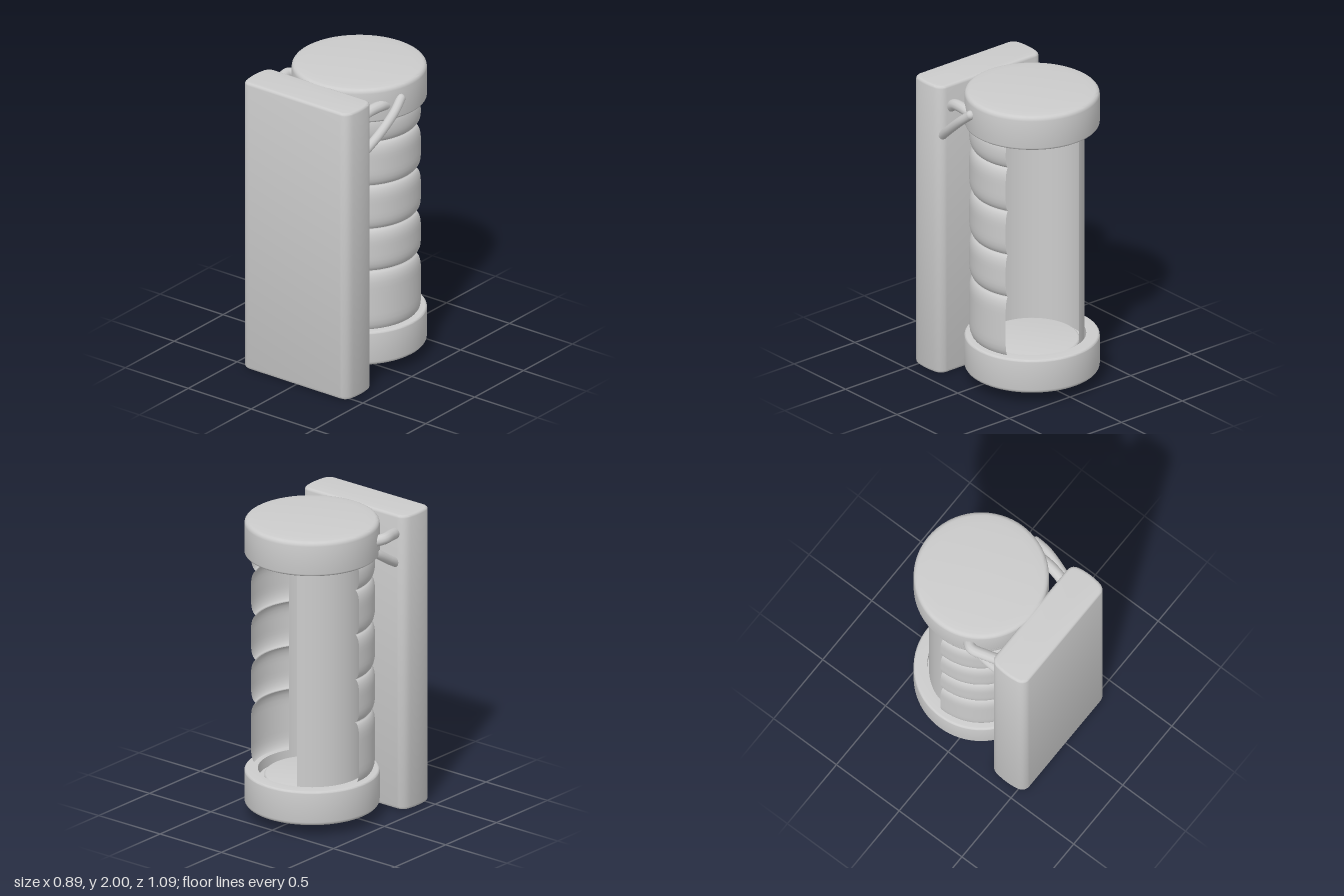
import * as THREE from 'three';
import { toCreasedNormals } from 'three/addons/utils/BufferGeometryUtils.js';

const material = new THREE.MeshStandardMaterial({ color: 0xcccccc });
const thinMaterial = new THREE.MeshStandardMaterial({ color: 0xcccccc, side: THREE.DoubleSide });
const rad = THREE.MathUtils.degToRad;
const AXIS = [-0.01, 0, -0.12]; // vertical axis of the canister

function addMesh(parent, name, geometry, mat = material) {
  const mesh = new THREE.Mesh(geometry, mat);
  mesh.name = name;
  parent.add(mesh);
  return mesh;
}

// Quarter-round corner of a lathe profile, centred on (cx, cy)
function corner(cx, cy, r, fromDeg) {
  return Array.from({ length: 5 }, (_, i) => {
    const a = rad(fromDeg + i * 22.5);
    return [cx + r * Math.cos(a), cy + r * Math.sin(a)];
  });
}

function turned(points) {
  const profile = points.map(([x, y]) => new THREE.Vector2(x, y));
  return toCreasedNormals(new THREE.LatheGeometry(profile, 72), 0.6);
}

function partShell(points, phiStart, phiLength) {
  const profile = points.map(([x, y]) => new THREE.Vector2(x, y));
  return new THREE.LatheGeometry(profile, 64, rad(phiStart), rad(phiLength));
}

// Tall slab with rounded corners and softened ends
function slabGeometry() {
  const w = 0.41, d = 0.116, r = 0.05, bevel = 0.018;
  const s = new THREE.Shape();
  s.moveTo(-w + r, -d);
  s.lineTo(w - r, -d);
  s.quadraticCurveTo(w - 0.01, -d, w - 0.005, -d + r);
  s.quadraticCurveTo(w + 0.005, 0, w - 0.005, d - r);
  s.quadraticCurveTo(w - 0.01, d, w - r, d);
  s.lineTo(-w + r, d);
  s.quadraticCurveTo(-w + 0.01, d, -w + 0.005, d - r);
  s.quadraticCurveTo(-w - 0.005, 0, -w + 0.005, -d + r);
  s.quadraticCurveTo(-w + 0.01, -d, -w + r, -d);
  const geometry = new THREE.ExtrudeGeometry(s, {
    depth: 1.98 - 2 * bevel, bevelThickness: bevel, bevelSize: bevel, bevelSegments: 3, curveSegments: 6,
  });
  geometry.rotateX(-Math.PI / 2);
  return toCreasedNormals(geometry, 0.6);
}

function strap(parent, name, points, radius) {
  const path = new THREE.CatmullRomCurve3(points.map((p) => new THREE.Vector3(...p)));
  addMesh(parent, name, new THREE.TubeGeometry(path, 24, radius, 12));
  // Rounded ends
  for (const p of [points[0], points[points.length - 1]]) {
    addMesh(parent, name + 'End', new THREE.SphereGeometry(radius, 12, 8)).position.set(...p);
  }
}

export function createModel() {
  const model = new THREE.Group();

  // Front slab
  addMesh(model, 'frontSlab', slabGeometry()).position.set(-0.01, bevelLift(), 0.413);

  const canister = new THREE.Group();
  canister.name = 'canister';
  canister.position.set(...AXIS);
  model.add(canister);

  // Bottom cap: cup with a raised disc inside
  addMesh(canister, 'bottomCap', turned([
    [0, 0.075], [0.36, 0.08], ...corner(0.4, 0.105, 0.025, -90),
    ...corner(0.41, 0.295, 0.015, 0), [0.34, 0.31], [0.34, 0.24],
    [0.3, 0.24], ...corner(0.285, 0.265, 0.015, 0), [0, 0.28],
  ]));

  // Top cap: lid with a recessed underside
  addMesh(canister, 'topCap', turned([
    [0, 1.84], [0.33, 1.84], [0.36, 1.76], ...corner(0.41, 1.775, 0.015, -90),
    ...corner(0.395, 1.96, 0.03, 0), [0.34, 1.996], [0, 2.0],
  ]));

  // Knob under the lid
  const knob = addMesh(canister, 'lidKnob', new THREE.SphereGeometry(0.11, 32, 20));
  knob.scale.y = 0.7;
  knob.position.y = 1.82;

  // Ribbed grip, a partial shell with bulging rings
  const grooves = [0.3, 0.71, 1.0, 1.3, 1.6, 1.79];
  const ribs = [[0.36, grooves[0]]];
  for (let i = 0; i < grooves.length - 1; i++) {
    const length = grooves[i + 1] - grooves[i];
    for (let k = 1; k <= 14; k++) {
      const t = 0.5 - 0.5 * Math.cos((k / 14) * Math.PI);
      const edge = Math.min(1, (Math.min(t, 1 - t) * length) / 0.09);
      ribs.push([0.36 + 0.036 * Math.sqrt(1 - (1 - edge) ** 2), grooves[i] + t * length]);
    }
  }
  addMesh(canister, 'ribbedGrip', partShell(ribs, -92, 207), thinMaterial);

  // Smooth inner liner, turned to the other side
  addMesh(canister, 'innerLiner', partShell([[0.328, 0.25], [0.328, 1.83]], -157, 223), thinMaterial);

  // Straps tying the canister to the slab
  strap(model, 'leftUpperStrap', [[0.31, 1.82, 0.3], [0.325, 1.86, 0.23], [0.34, 1.87, 0.12], [0.34, 1.86, 0.06]], 0.036);
  strap(model, 'leftLowerStrap', [[0.37, 1.64, 0.3], [0.4, 1.73, 0.19], [0.415, 1.83, 0.07], [0.405, 1.895, -0.01]], 0.03);
  strap(model, 'rightUpperStrap', [[-0.345, 1.85, 0.3], [-0.38, 1.87, 0.21], [-0.405, 1.88, 0.11], [-0.37, 1.87, 0.06]], 0.036);
  strap(model, 'rightLowerStrap', [[-0.35, 1.65, 0.3], [-0.36, 1.7, 0.21], [-0.36, 1.77, 0.1], [-0.34, 1.81, 0.04]], 0.03);

  return model;
}

// Height of the slab's lower bevel above the ground
function bevelLift() {
  return 0.018;
}
